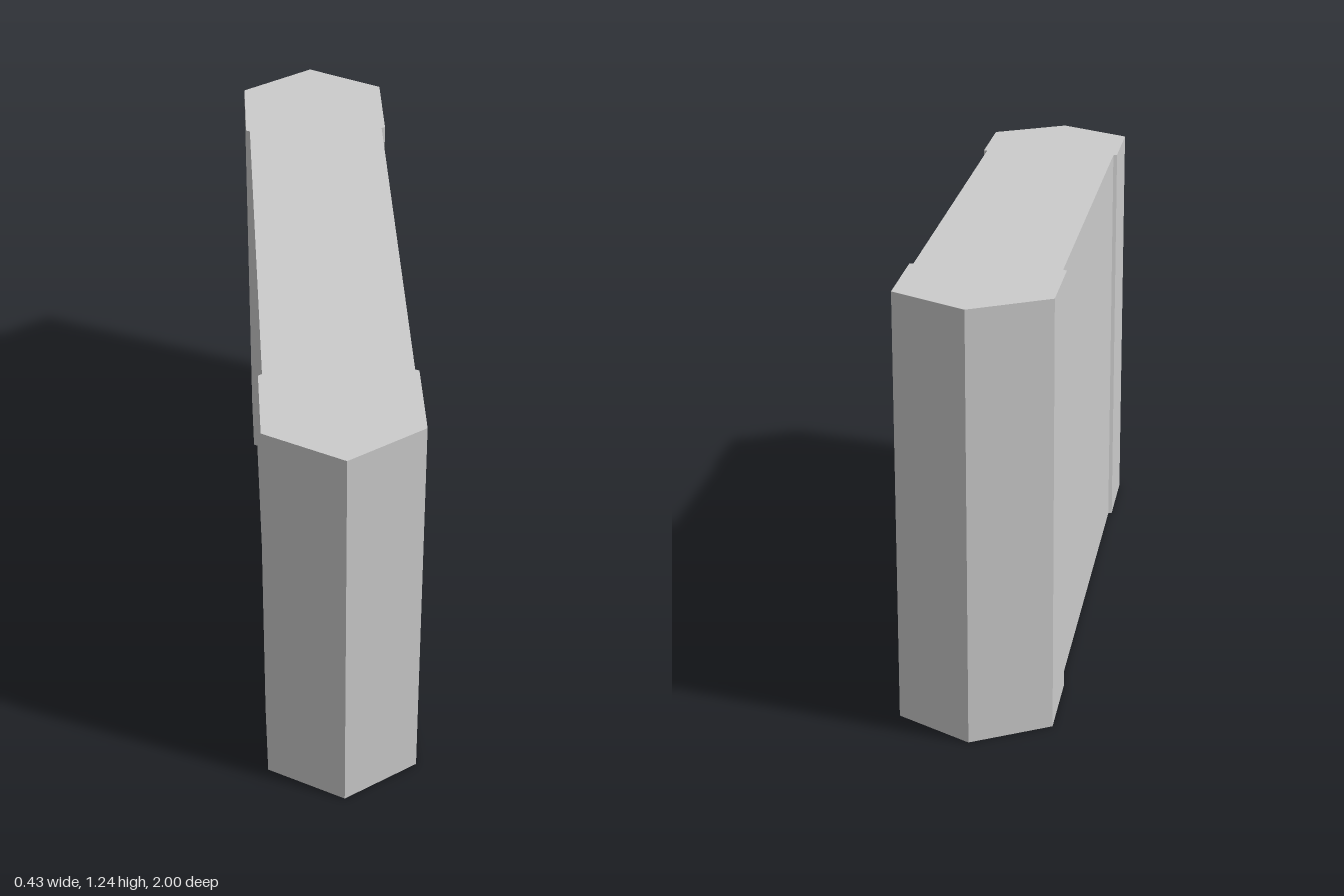
import * as THREE from 'three';

export function createModel() {
  const group = new THREE.Group();
  const material = new THREE.MeshStandardMaterial({ color: 0xcccccc, flatShading: true });
  const height = 1.235;
  const radius = 0.247;        // hexagonal pillar, corner to centre
  const pillarZ = 1 - radius;  // outer corner reaches z = 1
  const halfWidth = 0.203;     // wall slab, slightly narrower than the pillars

  // Hexagonal end pillars, corners pointing along z
  for (const [name, side] of [['frontPillar', 1], ['backPillar', -1]]) {
    const pillar = new THREE.Mesh(new THREE.CylinderGeometry(radius, radius, height, 6), material);
    pillar.name = name;
    pillar.position.set(0, height / 2, side * pillarZ);
    group.add(pillar);
  }

  // Wall slab, its ends notched to fit the inner corners of the pillars
  const tip = pillarZ - radius;
  const edge = tip + halfWidth * Math.tan(Math.PI / 6);
  const outline = new THREE.Shape([
    [halfWidth, -edge], [halfWidth, edge], [0, tip],
    [-halfWidth, edge], [-halfWidth, -edge], [0, -tip],
  ].map(([x, y]) => new THREE.Vector2(x, y)));
  const slab = new THREE.ExtrudeGeometry(outline, { depth: height, bevelEnabled: false });
  slab.rotateX(-Math.PI / 2);
  const wall = new THREE.Mesh(slab, material);
  wall.name = 'wall';
  group.add(wall);

  return group;
}
